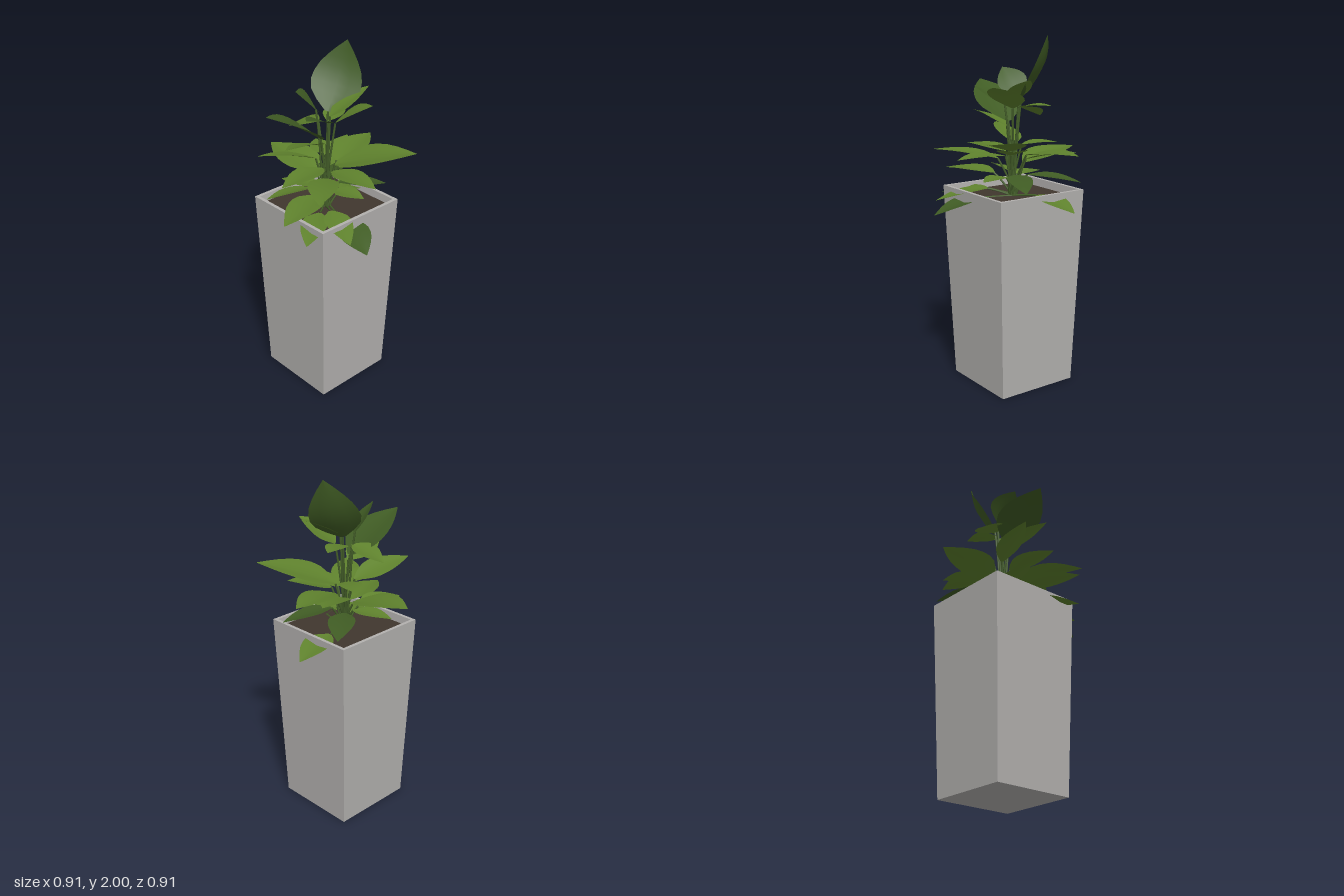
import * as THREE from 'three';

const potMat = new THREE.MeshStandardMaterial({ color: 0xb3b1af });
potMat.name = 'stone grey';
const soilMat = new THREE.MeshStandardMaterial({ color: 0x40362e });
soilMat.name = 'soil brown';
const leafMat = new THREE.MeshStandardMaterial({ color: 0x5f822d, side: THREE.DoubleSide });
leafMat.name = 'leaf green';
const darkLeafMat = new THREE.MeshStandardMaterial({ color: 0x405c24, side: THREE.DoubleSide });
darkLeafMat.name = 'dark leaf green';
const stemMat = new THREE.MeshStandardMaterial({ color: 0x45602a });
stemMat.name = 'stem green';

const V = (x, y, z) => new THREE.Vector3(x, y, z);
const SOIL = 1.1;

// leaf half-width along its length: ovate with a pointed tip
const OUTLINE = [0.12, 0.58, 0.9, 1, 0.96, 0.83, 0.61, 0.33, 0.01];

// curved blade from base to tip; roll turns it about its midrib, arch bows it up or down
function leafGeometry(base, tip, width, roll, arch) {
  const dir = tip.clone().sub(base);
  const len = dir.length();
  dir.normalize();
  const side = V(-dir.z, 0, dir.x).normalize().applyAxisAngle(dir, roll);
  const up = V(0, 0, 0).crossVectors(side, dir).normalize();
  const rows = OUTLINE.length, cols = 5, pos = [], index = [];
  for (let i = 0; i < rows; i++) {
    const t = i / (rows - 1);
    for (let j = 0; j < cols; j++) {
      const s = (j / (cols - 1)) * 2 - 1;
      const half = OUTLINE[i] * width / 2;
      const lift = Math.sin(Math.PI * t) * len * arch + Math.abs(s) * half * 0.14;
      const p = base.clone().addScaledVector(dir, t * len)
        .addScaledVector(side, s * half).addScaledVector(up, lift);
      pos.push(p.x, p.y, p.z);
      if (i && j) {
        const a = (i - 1) * cols + j - 1, b = a + cols;
        index.push(a, a + 1, b, a + 1, b + 1, b);
      }
    }
  }
  const g = new THREE.BufferGeometry();
  g.setAttribute('position', new THREE.Float32BufferAttribute(pos, 3));
  g.setIndex(index);
  g.computeVertexNormals();
  return g;
}

// tier lists, each leaf: base, tip, width, then options
const dark = { mat: darkLeafMat };
const tilted = { roll: 0.25 };
const LOW = [
  [[-0.05, 1.1, 0.2], [-0.12, 1.02, 0.45], 0.19, dark],
  [[-0.08, 1.14, 0.12], [-0.19, 1.085, 0.395], 0.15],
  [[-0.12, 1.125, 0.08], [-0.37, 1.085, 0.25], 0.15],
  [[0.16, 1.12, -0.05], [0.43, 1.06, -0.1], 0.17],
  [[-0.1, 1.22, 0.06], [-0.455, 1.21, 0.175], 0.18],
  [[0.06, 1.22, -0.06], [0.3, 1.19, -0.255], 0.15, dark],
  [[0.07, 1.23, 0.03], [0.33, 1.18, 0.15], 0.14, dark],
  [[-0.07, 1.22, -0.04], [-0.35, 1.22, -0.1], 0.14, tilted],
  [[0.01, 1.21, 0.05], [0.06, 1.21, 0.24], 0.13],
  [[-0.02, 1.21, -0.05], [-0.1, 1.2, -0.27], 0.13],
];
const MIDDLE = [
  [[0, 1.28, -0.08], [-0.02, 1.34, -0.455], 0.25],
  [[0.03, 1.36, 0.04], [0.3, 1.46, 0.395], 0.28],
  [[-0.06, 1.31, 0.06], [-0.34, 1.35, 0.32], 0.17],
  [[0, 1.33, 0.05], [0.01, 1.34, 0.375], 0.16],
  [[0.1, 1.34, -0.02], [0.45, 1.375, -0.105], 0.19],
  [[0.06, 1.31, -0.05], [0.34, 1.37, -0.185], 0.16],
  [[-0.04, 1.39, -0.04], [-0.365, 1.47, -0.145], 0.16, tilted],
  [[-0.04, 1.35, 0.02], [-0.37, 1.36, 0.06], 0.15],
  [[0.05, 1.34, 0.05], [0.26, 1.4, 0.18], 0.17],
  [[0.03, 1.39, -0.04], [0.12, 1.4, -0.22], 0.13],
];
const HIGH = [
  [[-0.04, 1.52, 0], [-0.38, 1.73, -0.04], 0.28, dark],
  [[-0.04, 1.49, 0.01], [-0.33, 1.56, 0.05], 0.16, tilted],
  [[0.04, 1.6, 0.03], [0.13, 1.73, 0.22], 0.22],
  [[-0.01, 1.6, -0.05], [-0.06, 1.53, -0.24], 0.18],
  [[0.03, 1.6, -0.02], [0.22, 1.62, -0.1], 0.12],
  [[-0.02, 1.62, 0.04], [-0.23, 1.71, 0.1], 0.14, dark],
  [[0.02, 1.64, 0.01], [0.25, 1.77, 0.07], 0.13],
  [[-0.02, 1.67, -0.06], [-0.17, 1.81, -0.05], 0.17, { mat: darkLeafMat, roll: -0.5 }],
  [[0.04, 1.65, -0.03], [0.22, 2, -0.07], 0.28, { mat: darkLeafMat, roll: 0.42, arch: -0.1 }],
];

// each leaf with a slim stem rising from the soil near the centre
function addTier(parent, name, list) {
  const tier = new THREE.Group();
  tier.name = name;
  list.forEach(([b, t, w, { mat = leafMat, roll = 0, arch = 0.03 } = {}], i) => {
    const base = V(...b);
    const leaf = new THREE.Mesh(leafGeometry(base, V(...t), w, roll, arch), mat);
    leaf.name = 'leaf';
    const a = i * 2.4;
    const root = V(0.02 * Math.cos(a), SOIL, 0.02 * Math.sin(a));
    const bend = V(base.x * 0.55, SOIL + (base.y - SOIL) * 0.7, base.z * 0.55);
    const curve = new THREE.QuadraticBezierCurve3(root, bend, base);
    const stem = new THREE.Mesh(new THREE.TubeGeometry(curve, 6, 0.006, 5), stemMat);
    stem.name = 'stem';
    tier.add(leaf, stem);
  });
  parent.add(tier);
}

export function createModel() {
  const model = new THREE.Group();
  model.name = 'pottedPlant';

  // tapered square pot with a thin rim and a hollow top
  const r = Math.SQRT2;
  const profile = [[0, 0], [0.245, 0], [0.285, 1.145], [0.265, 1.145], [0.262, 1.09]]
    .map(([x, y]) => new THREE.Vector2(x * r, y));
  const potGeo = new THREE.LatheGeometry(profile, 4, Math.PI / 4).toNonIndexed();
  potGeo.computeVertexNormals();
  const pot = new THREE.Mesh(potGeo, potMat);
  pot.name = 'pot';

  const soil = new THREE.Mesh(new THREE.BoxGeometry(0.524, 0.02, 0.524), soilMat);
  soil.name = 'soil';
  soil.position.y = SOIL - 0.01;
  model.add(pot, soil);

  addTier(model, 'lowerLeaves', LOW);
  addTier(model, 'middleLeaves', MIDDLE);
  addTier(model, 'upperLeaves', HIGH);
  return model;
}
